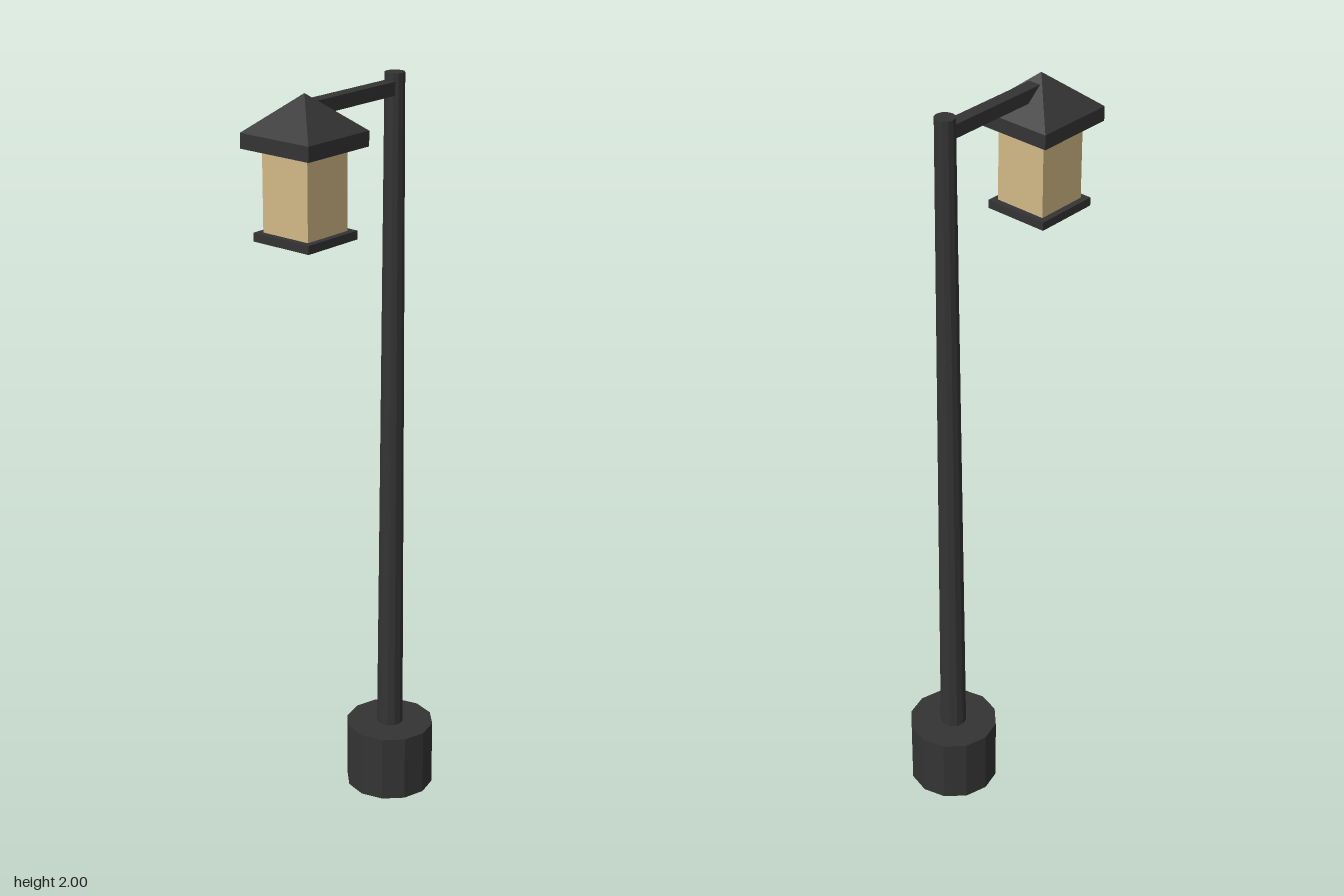
import * as THREE from 'three';

export function createModel() {
  const model = new THREE.Group();
  const iron = new THREE.MeshStandardMaterial({ color: 0x343434 });
  iron.name = 'dark iron';
  const glass = new THREE.MeshStandardMaterial({ color: 0xd2b886 });
  glass.name = 'warm glass';

  const poleZ = -0.163;
  const lampZ = 0.171;

  function add(name, geometry, material, y, z) {
    // Separate corners give every facet its own flat normal
    const flat = geometry.toNonIndexed();
    flat.computeVertexNormals();
    const mesh = new THREE.Mesh(flat, material);
    mesh.name = name;
    mesh.position.set(0, y, z);
    model.add(mesh);
  }

  // A box given by its width, vertical range and depth
  function slab(name, material, width, y0, y1, depth, z) {
    add(name, new THREE.BoxGeometry(width, y1 - y0, depth), material, (y0 + y1) / 2, z);
  }

  // Footing and tapered post
  add('base', new THREE.CylinderGeometry(0.12, 0.12, 0.185, 12), iron, 0.0925, poleZ);
  add('pole', new THREE.CylinderGeometry(0.026, 0.036, 1.82, 12), iron, 1.09, poleZ);

  // Arm from the post into the lantern roof
  slab('arm', iron, 0.034, 1.945, 1.98, 0.32, -0.003);

  // Lantern
  slab('lanternFloor', iron, 0.178, 1.642, 1.664, 0.178, lampZ);
  slab('lanternGlass', glass, 0.144, 1.664, 1.87, 0.144, lampZ);
  slab('roofEave', iron, 0.217, 1.87, 1.908, 0.217, lampZ);

  // Four-sided roof, turned square to the arm
  const roof = new THREE.ConeGeometry(0.1085 * Math.SQRT2, 0.092, 4);
  roof.rotateY(Math.PI / 4);
  add('roof', roof, iron, 1.954, lampZ);

  return model;
}
